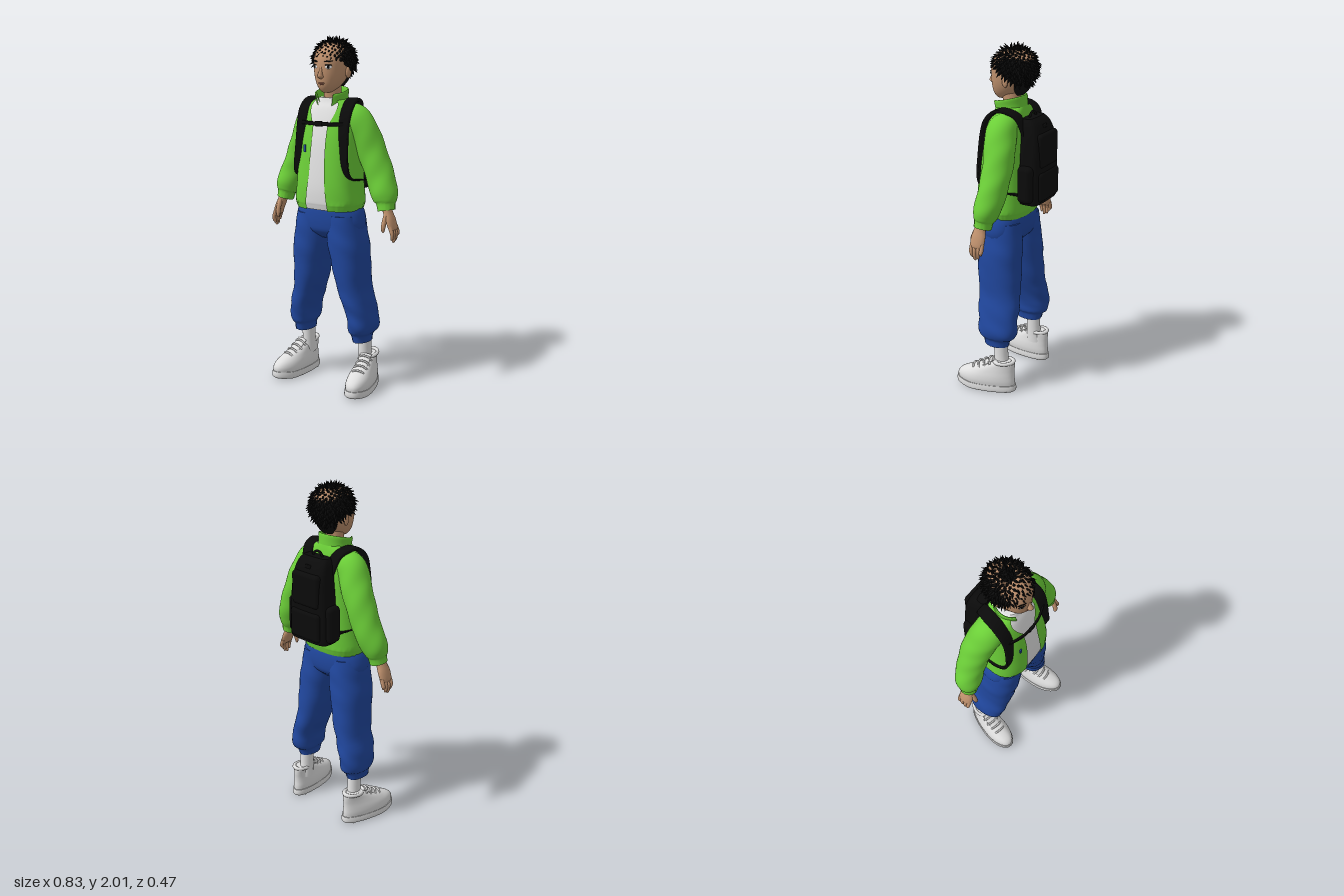
import * as THREE from 'three';
import { mergeGeometries } from 'three/addons/utils/BufferGeometryUtils.js';
import { RoundedBoxGeometry } from 'three/addons/geometries/RoundedBoxGeometry.js';

const mat = (name, color, side = THREE.FrontSide) => new THREE.MeshStandardMaterial({ name, color, side });
const V = (x, y, z) => new THREE.Vector3(x, y, z);

// Smooth surface through cross-sections [x, y, z, halfWidth, halfDepth]
function loft(sections, { n = 28, sub = 4, e = 2, flat = false, ref = V(1, 0, 0), gap = null, fold = null, move = null } = {}) {
  const last = sections.length - 1, rows = [];
  const at = (i, k) => sections[Math.min(last, Math.max(0, i))][k];
  for (let i = 0; i <= last * sub; i++) {
    const s = Math.min(last - 1, Math.floor(i / sub)), t = i / sub - s;
    rows.push([0, 1, 2, 3, 4].map((k) => {
      const [a, b, c, d] = [at(s - 1, k), at(s, k), at(s + 1, k), at(s + 2, k)];
      return b + 0.5 * t * (c - a + t * (2 * a - 5 * b + 4 * c - d + t * (3 * (b - c) + d - a)));
    }));
  }
  const N = rows.length, pos = [], idx = [];
  const order = rows.map((_, i) => [i, 1]);
  if (!gap) { // end caps
    order.unshift([0, 0], [0, 1]);
    order.push([N - 1, 1], [N - 1, 0]);
  }
  const cols = gap ? n + 1 : n;
  for (const [i, scale] of order) {
    const [x, y, z, ru, rv] = rows[i], p = rows[Math.max(0, i - 1)], q = rows[Math.min(N - 1, i + 1)];
    const T = flat ? V(0, 1, 0) : V(q[0] - p[0], q[1] - p[1], q[2] - p[2]).normalize();
    const u = ref.clone().addScaledVector(T, -ref.dot(T)).normalize(), v = u.clone().cross(T);
    const g = gap ? gap(y) : 0;
    for (let j = 0; j < cols; j++) {
      const a = g + (j / n) * (Math.PI * 2 - 2 * g);
      const k = scale * (fold ? 1 + fold(a, y) : 1), S = Math.sin(a), C = Math.cos(a);
      const w = V(x, y, z)
        .addScaledVector(u, ru * k * Math.sign(S) * Math.abs(S) ** (2 / e))
        .addScaledVector(v, rv * k * Math.sign(C) * Math.abs(C) ** (2 / e));
      if (move) move(w);
      pos.push(w.x, w.y, w.z);
    }
  }
  for (let i = 0; i < order.length - 1; i++) for (let j = 0; j < n; j++) {
    const a = i * cols + j, b = i * cols + (j + 1) % cols, c = a + cols, d = b + cols;
    idx.push(a, b, d, a, d, c);
  }
  const geo = new THREE.BufferGeometry();
  geo.setAttribute('position', new THREE.Float32BufferAttribute(pos, 3));
  geo.setIndex(idx);
  geo.computeVertexNormals();
  return geo;
}

export function createModel() {
  const root = new THREE.Group();
  const green = mat('jacketGreen', 0x6ccf38, THREE.DoubleSide), blue = mat('trouserBlue', 0x2148a0);
  const black = mat('black', 0x0b0b0b, THREE.DoubleSide), skin = mat('skin', 0xc2936f);
  const white = mat('shirtWhite', 0xe4e4e4), shoe = mat('shoeWhite', 0xdedede);
  const grey = mat('trimGrey', 0xb0b0b0), lip = mat('lip', 0x9c6350);
  const add = (name, geo, m, parent = root) => {
    const mesh = new THREE.Mesh(geo, m);
    mesh.name = name;
    parent.add(mesh);
    return mesh;
  };
  const ball = (name, m, p, r, parent = root) => {
    const b = add(name, new THREE.SphereGeometry(1, 20, 14), m, parent);
    b.position.set(...p);
    b.scale.set(...r);
    return b;
  };

  // Jacket body, open down the front over a shirt
  const torso = [[0, 1.05, .03, .19, .138], [0, 1.075, .03, .197, .145], [0, 1.1, .03, .2, .149], [0, 1.2, .03, .19, .148],
    [0, 1.4, .02, .178, .135], [0, 1.52, .01, .173, .12], [0, 1.6, .005, .158, .1], [0, 1.64, 0, .125, .086], [0, 1.665, 0, .08, .078]];
  const crease = (a, y) => y < 1.09 ? .008 * Math.cos(a * 30) : .012 * Math.sin(a * 5 + y * 22) * Math.sin(y * 9 + a);
  add('jacketBody', loft(torso, { n: 72, e: 2.6, flat: true, fold: crease,
    gap: (y) => .17 + .8 * (y - 1.4) ** 2 + Math.max(0, y - 1.52) * 3 }), green);
  add('shirt', loft(torso.map(([x, y, z, a, b]) => [x, y + .002, z, a - .01, b - .008]), { n: 40, e: 2.6, flat: true }), white);
  add('jacketCollar', loft([[0, 1.62, .005, .095, .085], [0, 1.665, .012, .092, .088], [0, 1.7, .016, .096, .09], [0, 1.708, .016, .09, .085],
    [0, 1.69, .014, .084, .08], [0, 1.64, .008, .078, .074]], { n: 40, flat: true, gap: (y) => .45 + Math.max(0, y - 1.62) * 2,
    move: (p) => { p.y -= p.z * .22; } }), green);
  const neckline = add('shirtNeckline', new THREE.TorusGeometry(.064, .008, 8, 32), grey);
  neckline.position.set(0, 1.645, .014);
  neckline.rotation.x = Math.PI / 2 + .35;
  add('zipPull', new THREE.BoxGeometry(.012, .04, .008), blue).position.set(-.09, 1.39, .152);

  // Trousers
  add('trouserSeat', loft([[0, .88, .02, .12, .07], [0, .92, .022, .195, .115], [0, .97, .022, .215, .128], [0, 1.03, .023, .205, .13],
    [0, 1.07, .025, .185, .125]], { e: 2.3, flat: true }), blue);

  for (const s of [1, -1]) {
    const side = s > 0 ? 'left' : 'right';
    const legFold = (a, y) => (y < .34 ? .02 * Math.cos(a * 18) : 0)
      + (y < .55 ? .04 : .02) * Math.sin(y * 45 + a * 2) * Math.sin(a * 2 + y * 7 + s);
    add(side + 'TrouserLeg', loft([[.2, .28, -.002, .05, .075], [.2, .32, -.004, .054, .085], [.202, .345, -.01, .07, .108], [.202, .39, -.01, .076, .12],
      [.19, .46, -.006, .076, .122], [.15, .6, .005, .087, .125], [.125, .8, .018, .108, .13], [.108, .92, .022, .108, .128], [.1, 1.02, .024, .098, .12]]
      .map(([x, ...r]) => [s * x, ...r]), { n: 40, sub: 6, flat: true, e: 2.2, fold: legFold }), blue);
    add(side + 'Sock', loft([[s * .203, .12, -.038, .04, .05], [s * .2, .2, -.032, .037, .043], [s * .2, .32, -.028, .038, .043]], { n: 20 }), white);

    // Shoe: sole, upper, tongue and laces, turned slightly outward
    const foot = new THREE.Group();
    foot.name = side + 'Shoe';
    foot.position.set(s * .235, 0, .05);
    foot.rotation.y = s * .17;
    root.add(foot);
    const last = (p) => {
      p.x *= .9 + .1 * Math.sin((p.z + .06) * 12);
      p.y += Math.max(0, p.z - .09) * .14 * (1 - p.y * 3);
    };
    add('sole', loft([[0, 0, 0, .068, .175], [0, .008, 0, .076, .183], [0, .025, 0, .076, .184], [0, .042, 0, .073, .181]],
      { n: 40, e: 2.4, flat: true, move: last }), shoe, foot);
    add('upper', loft([[0, .035, 0, .07, .176], [0, .065, 0, .073, .176], [0, .095, -.01, .069, .163], [0, .125, -.036, .06, .137],
      [0, .15, -.068, .053, .107], [0, .175, -.1, .048, .075], [0, .19, -.112, .043, .06]], { n: 40, e: 2.3, flat: true, move: last }), shoe, foot);
    add('tongue', loft([[0, .12, .07, .03, .01], [0, .16, .0, .035, .012], [0, .197, -.05, .035, .01]], { n: 16 }), shoe, foot);
    const collar = add('ankleCollar', new THREE.TorusGeometry(.048, .011, 8, 28), shoe, foot);
    collar.rotation.x = Math.PI / 2 + .1;
    collar.scale.set(.9, 1.2, 1);
    collar.position.set(0, .186, -.11);
    for (let i = 0; i < 4; i++) {
      const y = .127 + i * .018, z = .075 - i * .033;
      const path = new THREE.CatmullRomCurve3([V(-.042, y - .012, z - .012), V(-.02, y + .012, z), V(.02, y + .012, z), V(.042, y - .012, z - .012)]);
      add('lace', new THREE.TubeGeometry(path, 12, .006, 6), shoe, foot);
    }
    for (let i = 0; i < 6; i++) add('tread', new THREE.BoxGeometry(.09, .008, .02), grey, foot).position.set(0, .004, -.13 + i * .04);

    // Sleeve with gathered cuff
    add(side + 'Sleeve', loft([[.09, 1.575, -.005, .065, .075], [.145, 1.55, -.01, .082, .085], [.195, 1.46, -.025, .083, .087], [.24, 1.36, -.036, .08, .083],
      [.285, 1.25, -.033, .08, .078], [.322, 1.16, -.02, .078, .073], [.336, 1.115, -.013, .066, .062], [.34, 1.095, -.01, .053, .052], [.347, 1.06, -.006, .048, .05]]
      .map(([x, ...r]) => [s * x, ...r]), { n: 36, sub: 6,
      fold: (a, y) => y < 1.1 ? .02 * Math.cos(a * 14) : .03 * Math.sin(y * 40 + a) * Math.sin(a * 2 + y * 9) }), green);

    // Hand
    const hand = new THREE.Group();
    hand.name = side + 'Hand';
    root.add(hand);
    const limb = (name, pts) => add(name, loft(pts.map(([x, ...r]) => [s * x, ...r]), { n: 14 }), skin, hand);
    limb('palm', [[.348, 1.09, 0, .027, .031], [.362, 1.05, .002, .024, .034], [.38, 1.01, .003, .022, .043], [.395, .968, .003, .018, .041], [.398, .955, .003, .01, .034]]);
    [-.03, -.01, .012, .033].forEach((z, i) => {
      const tip = [.918, .898, .89, .905][i];
      limb('finger', [[.392, .98, z, .012, .011], [.406, .942, z, .011, .011], [.405, tip + .015, z * .85, .01, .01], [.399, tip, z * .8, .005, .005]]);
    });
    limb('thumb', [[.362, 1.045, .025, .012, .014], [.362, 1.0, .046, .013, .014], [.36, .965, .052, .011, .011], [.36, .948, .05, .005, .005]]);

    // Shoulder strap
    add(side + 'Strap', loft([[.085, 1.53, -.12, .03, .008], [.105, 1.62, -.09, .033, .01], [.125, 1.654, -.03, .035, .011], [.135, 1.65, .03, .035, .011], [.14, 1.6, .082, .034, .011],
      [.14, 1.52, .108, .031, .011], [.147, 1.4, .122, .027, .01], [.162, 1.29, .127, .02, .008], [.178, 1.235, .1, .014, .006], [.188, 1.22, .02, .012, .005], [.14, 1.2, -.11, .012, .005]]
      .map(([x, ...r]) => [s * x, ...r]), { n: 20, e: 4 }), black);

    // Pack side pocket
    add(side + 'PackPocket', new RoundedBoxGeometry(.06, .21, .09, 4, .028), black).position.set(s * .137, 1.265, -.152);

    // Ear and eye
    const ear = ball(side + 'Ear', skin, [s * .096, 1.805, -.002], [.011, .032, .02]);
    ear.rotation.y = -s * .3;
    const eye = new THREE.Group();
    eye.name = side + 'Eye';
    eye.position.set(s * .043, 1.835, .1135);
    eye.rotation.y = s * .42;
    root.add(eye);
    ball('eyeWhite', white, [0, 0, 0], [.019, .01, .004], eye);
    ball('pupil', black, [0, .001, .002], [.008, .009, .004], eye);
    ball('upperLid', black, [0, .011, .001], [.021, .0025, .004], eye);
    ball('eyebrow', black, [0, .031, .0], [.024, .0045, .004], eye).rotation.z = s * .1;
  }
  add('chestStrap', loft([[-.14, 1.53, .112, .011, .006], [-.07, 1.53, .138, .011, .006], [0, 1.53, .145, .011, .006], [.07, 1.53, .138, .011, .006], [.14, 1.53, .112, .011, .006]],
    { n: 12, e: 4, ref: V(0, 1, 0) }), black);
  add('chestBuckle', new RoundedBoxGeometry(.045, .03, .014, 2, .005), black).position.set(0, 1.53, .146);

  // Backpack
  add('packBody', loft([[0, 1.145, -.155, .125, .055], [0, 1.17, -.158, .14, .066], [0, 1.35, -.158, .135, .066], [0, 1.5, -.155, .12, .062],
    [0, 1.58, -.14, .105, .05], [0, 1.615, -.125, .085, .03]], { n: 40, e: 4, flat: true }), black);
  add('packLowerPocket', new RoundedBoxGeometry(.22, .17, .06, 4, .024), black).position.set(0, 1.245, -.205);
  add('packUpperPocket', new RoundedBoxGeometry(.2, .19, .05, 4, .022), black).position.set(0, 1.445, -.205);
  add('packBuckle', new RoundedBoxGeometry(.04, .02, .02, 2, .005), black).position.set(0, 1.57, -.19);
  add('packHandle', new THREE.TorusGeometry(.035, .007, 8, 20, Math.PI), black).position.set(0, 1.605, -.12);

  // Neck, head and face
  add('neck', loft([[0, 1.58, 0, .06, .055], [0, 1.66, .005, .05, .05], [0, 1.76, .015, .052, .055]], { n: 24 }), skin);
  add('head', loft([[0, 1.695, .066, .014, .02], [0, 1.703, .058, .032, .042], [0, 1.73, .042, .058, .074], [0, 1.77, .025, .079, .098], [0, 1.82, .01, .092, .116],
    [0, 1.88, 0, .097, .122], [0, 1.93, -.008, .086, .106], [0, 1.965, -.01, .045, .06]], { n: 36, flat: true, e: 2.1 }), skin);
  add('nose', loft([[0, 1.772, .118, .008, .01], [0, 1.782, .125, .017, .022], [0, 1.795, .126, .013, .021], [0, 1.825, .12, .008, .011], [0, 1.85, .118, .006, .004]],
    { n: 16, flat: true }), skin);
  ball('upperLip', lip, [0, 1.749, .1185], [.02, .004, .006]);
  ball('lowerLip', lip, [0, 1.742, .1165], [.015, .004, .006]);

  // Short tousled hair: cap, nape and spikes
  const centre = V(0, 1.866, -.011), size = V(.106, .106, .118), axis = V(0, .8, -.6);
  const cap = new THREE.SphereGeometry(1, 32, 20, 0, Math.PI * 2, 0, 1.9).rotateX(-.6435);
  cap.scale(size.x, size.y, size.z).translate(centre.x, centre.y, centre.z);
  add('hairCap', cap, black);
  add('hairNape', loft([[0, 1.725, -.045, .035, .02], [0, 1.76, -.052, .062, .04], [0, 1.82, -.06, .085, .055]], { n: 24, flat: true }), black);
  const spikes = [], count = 420;
  for (let i = 0; i < count; i++) {
    const y = 1 - 2 * (i + .5) / count, a = i * 2.39996, r = Math.sqrt(1 - y * y);
    const d = V(r * Math.cos(a), y, r * Math.sin(a));
    if (d.dot(axis) < -.36) continue;
    const lean = V(.35 * Math.sin(i * 7.1), -.75 * r, .35 * Math.sin(i * 3.7) + .25 * Math.max(0, d.z)).add(d).normalize();
    const cone = new THREE.ConeGeometry(.016, .052 + .012 * Math.sin(i * 5.3), 5);
    cone.applyQuaternion(new THREE.Quaternion().setFromUnitVectors(V(0, 1, 0), lean));
    const p = d.multiply(size).add(centre).addScaledVector(lean, .006);
    spikes.push(cone.translate(p.x, p.y, p.z));
  }
  add('hairSpikes', mergeGeometries(spikes), black);
  return root;
}
